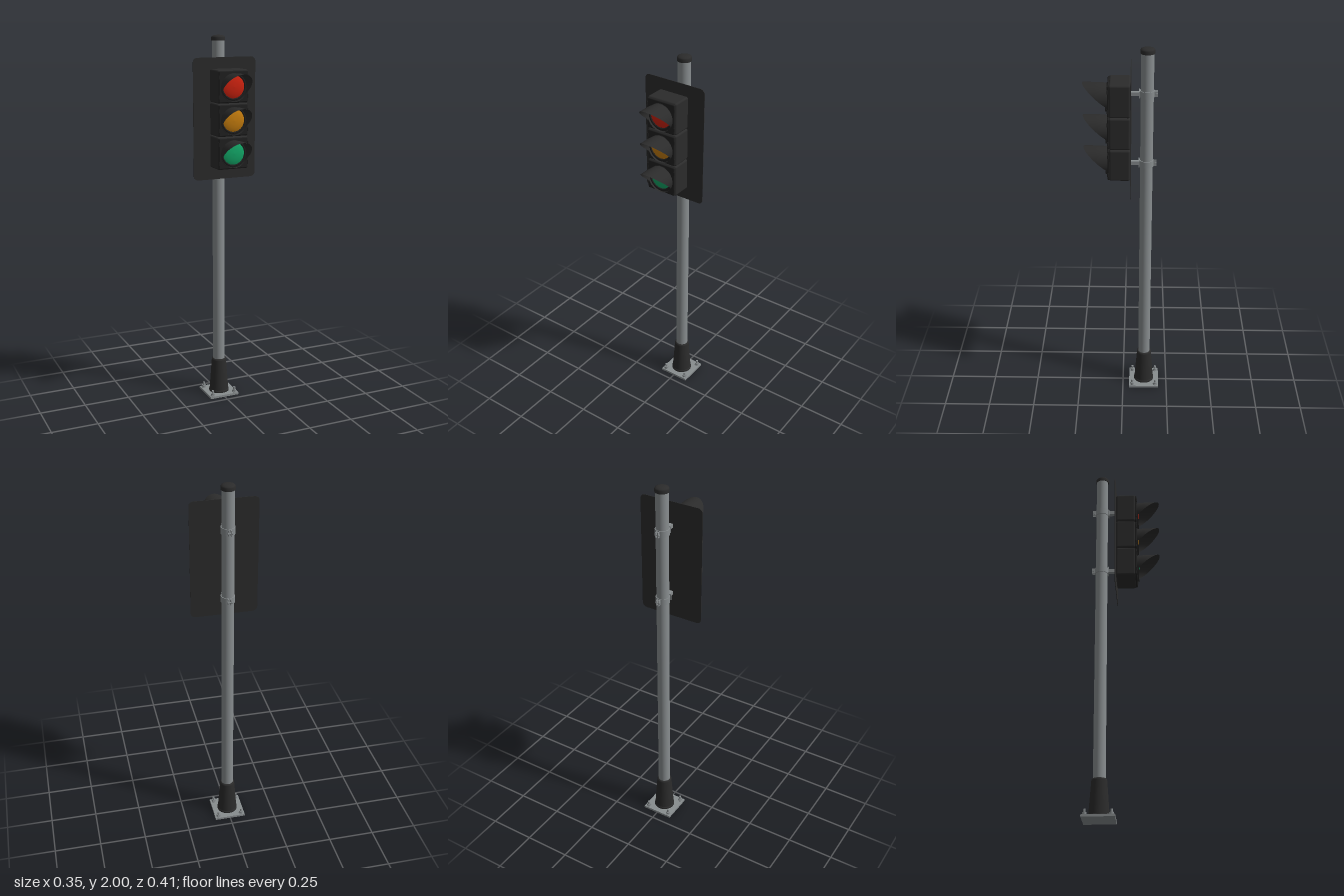
import * as THREE from 'three';
import { RoundedBoxGeometry } from 'three/addons/geometries/RoundedBoxGeometry.js';

const POLE_Z = -0.12;

export function createModel() {
  const model = new THREE.Group();
  model.name = 'trafficLight';
  const mat = (name, color, side = THREE.FrontSide) => {
    const m = new THREE.MeshStandardMaterial({ color, side });
    m.name = name;
    return m;
  };
  const steel = mat('galvanisedSteel', 0x888d8f);
  const black = mat('blackPaint', 0x2b2b2b);
  const hoodBlack = mat('visorBlack', 0x2b2b2b, THREE.DoubleSide);
  const dark = mat('darkTrim', 0x202020);
  const red = mat('redLens', 0xcc220f);
  const amber = mat('amberLens', 0xc47c0e);
  const green = mat('greenLens', 0x12a566);

  const add = (parent, name, geometry, material, x = 0, y = 0, z = 0) => {
    const mesh = new THREE.Mesh(geometry, material);
    mesh.name = name;
    mesh.position.set(x, y, z);
    parent.add(mesh);
    return mesh;
  };
  const group = (name, x, y, z) => {
    const g = new THREE.Group();
    g.name = name;
    g.position.set(x, y, z);
    model.add(g);
    return g;
  };
  // Lathe from [radius, height] pairs; doubled points keep the edges crisp
  const lathe = (pts, seg = 40) =>
    new THREE.LatheGeometry(pts.map(([r, y]) => new THREE.Vector2(r, y)), seg);

  // Foot: plate, anchor bolts and tapered collar
  const foot = group('foot', 0, 0, POLE_Z);
  add(foot, 'basePlate', new THREE.BoxGeometry(0.17, 0.012, 0.168), steel, 0, 0.006, 0);
  for (const sx of [-1, 1]) for (const sz of [-1, 1]) {
    const x = sx * 0.066, z = sz * 0.066;
    add(foot, 'washer', new THREE.CylinderGeometry(0.013, 0.013, 0.003, 20), steel, x, 0.0135, z);
    add(foot, 'nut', new THREE.CylinderGeometry(0.0115, 0.0115, 0.01, 6), steel, x, 0.02, z);
    add(foot, 'anchorBolt', new THREE.CylinderGeometry(0.006, 0.006, 0.03, 16), steel, x, 0.027, z);
  }
  add(foot, 'collar', lathe([
    [0.056, 0.012], [0.056, 0.02], [0.056, 0.02], [0.053, 0.025], [0.053, 0.025],
    [0.04, 0.2], [0.04, 0.2], [0.038, 0.208], [0.032, 0.208],
  ]), black);

  // Pole and its domed cap
  add(model, 'pole', new THREE.CylinderGeometry(0.0325, 0.0325, 1.97, 40), steel, 0, 0.995, POLE_Z);
  add(model, 'poleCap', lathe([
    [0.03, 1.972], [0.036, 1.972], [0.036, 1.972], [0.036, 1.988], [0.033, 1.994],
    [0.024, 1.998], [0.012, 2], [0, 2],
  ]), black, 0, 0, POLE_Z);

  // Clamps and arms that hold the signal on the pole
  for (const y of [1.765, 1.39]) {
    const clamp = group('clamp', 0, y, POLE_Z);
    add(clamp, 'band', new THREE.CylinderGeometry(0.0365, 0.0365, 0.034, 40), steel);
    add(clamp, 'saddlePlate', new THREE.BoxGeometry(0.05, 0.034, 0.005), steel, 0, 0, 0.038);
    add(clamp, 'arm', new THREE.BoxGeometry(0.022, 0.02, 0.045), steel, 0, 0, 0.06);
    for (const s of [-1, 1])
      add(clamp, 'ear', new THREE.BoxGeometry(0.004, 0.03, 0.018), steel, s * 0.006, 0, -0.043);
    const bolt = add(clamp, 'clampBolt', new THREE.CylinderGeometry(0.004, 0.004, 0.024, 12), steel, 0, 0, -0.046);
    bolt.rotation.z = Math.PI / 2;
    for (const s of [-1, 1]) {
      const head = add(clamp, 'boltHead', new THREE.CylinderGeometry(0.007, 0.007, 0.004, 6), steel, s * 0.01, 0, -0.046);
      head.rotation.z = Math.PI / 2;
    }
  }

  // Backboard with rounded corners
  const w = 0.176, h = 0.318, r = 0.025;
  const board = new THREE.Shape();
  board.absarc(w - r, h - r, r, 0, Math.PI / 2);
  board.absarc(-w + r, h - r, r, Math.PI / 2, Math.PI);
  board.absarc(-w + r, -h + r, r, Math.PI, Math.PI * 1.5);
  board.absarc(w - r, -h + r, r, Math.PI * 1.5, Math.PI * 2);
  add(model, 'backboard',
    new THREE.ExtrudeGeometry(board, { depth: 0.003, bevelEnabled: false, curveSegments: 8 }),
    black, 0, 1.573, -0.04);

  // Visor: a flared tube whose front rim is cut on a slant
  const visor = new THREE.CylinderGeometry(1, 1, 1, 48, 8, true).rotateX(Math.PI / 2);
  const p = visor.attributes.position;
  for (let i = 0; i < p.count; i++) {
    const t = p.getZ(i) + 0.5, s = p.getY(i);
    const front = Math.max(0.088, 0.12 + 0.083 * s);
    const z = 0.074 + (front - 0.074) * t;
    const radius = 0.071 + 0.004 * Math.min(1, (z - 0.074) / 0.05);
    p.setXYZ(i, p.getX(i) * radius, s * radius, z);
  }
  visor.computeVertexNormals();

  // Lens: shallow dome facing forward
  const lens = lathe([[0.061, 0], [0.052, 0.004], [0.038, 0.008], [0.02, 0.0105], [0, 0.0115]].reverse()
    .reverse(), 40).rotateX(Math.PI / 2);

  // Three signal heads, stacked
  const heads = [['redSignal', red, 1.749], ['amberSignal', amber, 1.578], ['greenSignal', green, 1.407]];
  for (const [name, lensMat, y] of heads) {
    const head = group(name, 0, y, 0);
    add(head, 'housing', new RoundedBoxGeometry(0.17, 0.169, 0.107, 3, 0.01), black, 0, 0, 0.0165);
    add(head, 'door', new RoundedBoxGeometry(0.162, 0.16, 0.012, 2, 0.005), dark, 0, 0, 0.072);
    add(head, 'lensRing', new THREE.TorusGeometry(0.064, 0.005, 8, 40), dark, 0, 0, 0.078);
    add(head, 'lens', lens, lensMat, 0, 0, 0.077);
    add(head, 'visor', visor, hoodBlack, 0, -0.004, 0);
    // Door latches on the left, hinges on the right
    for (const s of [-1, 1]) for (const dy of [-0.05, 0.05])
      add(head, s > 0 ? 'latch' : 'hinge', new THREE.CylinderGeometry(0.004, 0.004, 0.02, 10), dark, s * 0.08, dy, 0.076);
  }
  return model;
}
